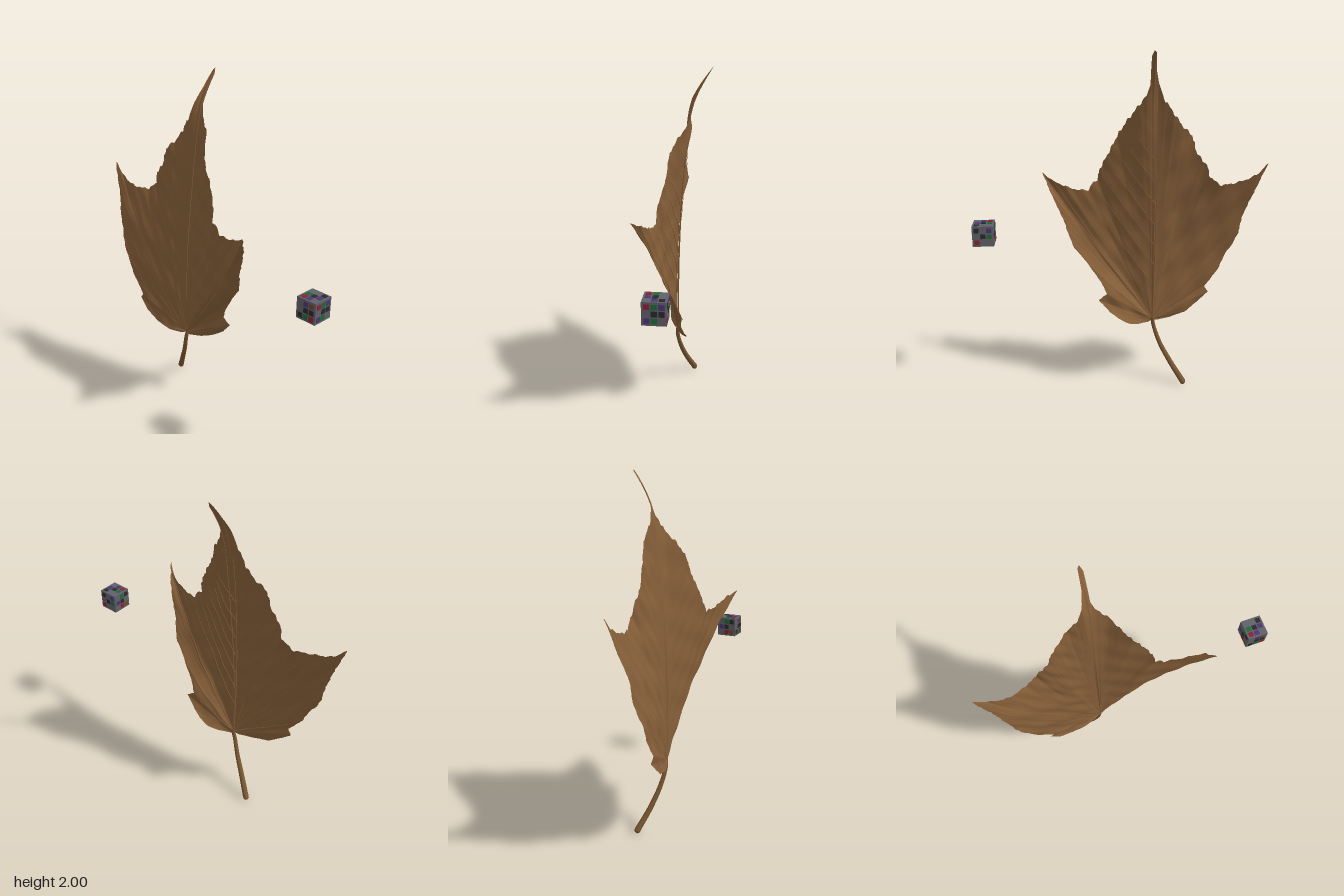
import * as THREE from 'three';

const mat = (name, color, extra = {}) => Object.assign(new THREE.MeshStandardMaterial({ color, ...extra }), { name });

// Margin points: x, y, z at the edge, z halfway from the leaf base
const RIGHT_EDGE = [
  [-0.17, 0.385, 0.01, 0.015], [-0.1, 0.39, -0.03, 0], [-0.04, 0.41, -0.055, -0.01], [0.02, 0.45, -0.06, -0.015],
  [0.07, 0.49, -0.055, -0.018], [0.135, 0.565, -0.04, -0.018], [0.085, 0.6, -0.035, -0.018], [0.12, 0.67, -0.02, -0.015],
  [0.195, 0.78, 0.005, -0.012], [0.27, 0.87, 0.03, -0.004], [0.3, 0.94, 0.055, 0.01], [0.33, 1.03, 0.08, 0.03],
  [0.4, 1.18, 0.13, 0.048], [0.445, 1.285, 0.19, 0.052], [0.4, 1.255, 0.145, 0.052], [0.32, 1.22, 0.11, 0.052],
  [0.25, 1.2, 0.1, 0.05], [0.18, 1.2, 0.095, 0.048], [0.165, 1.23, 0.092, 0.046], [0.13, 1.26, 0.09, 0.044],
  [0.115, 1.33, 0.07, 0.04], [0.07, 1.42, 0.055, 0.034], [0.02, 1.52, 0.04, 0.026], [-0.03, 1.61, 0, 0.018],
  [-0.08, 1.69, -0.05, 0.01], [-0.13, 1.76, -0.072, 0.005], [-0.148, 1.82, -0.078, 0], [-0.147, 1.9, -0.092, 0],
  [-0.143, 1.97, -0.1, 0],
];
const LEFT_EDGE = [
  [-0.155, 2, -0.1, 0], [-0.166, 1.99, -0.1, 0], [-0.175, 1.9, -0.076, 0], [-0.195, 1.82, -0.055, 0],
  [-0.225, 1.74, -0.055, 0.004], [-0.28, 1.66, -0.06, 0.008], [-0.33, 1.59, -0.045, 0.013], [-0.39, 1.53, -0.025, 0.02],
  [-0.42, 1.43, -0.015, 0.03], [-0.48, 1.36, -0.02, 0.035], [-0.5, 1.29, -0.025, 0.04], [-0.57, 1.24, -0.01, 0.05],
  [-0.66, 1.245, 0.015, 0.055], [-0.73, 1.265, 0.02, 0.06], [-0.79, 1.3, 0.02, 0.065], [-0.845, 1.365, 0.015, 0.065],
  [-0.8, 1.24, 0.045, 0.07], [-0.76, 1.13, 0.065, 0.075], [-0.72, 1, 0.085, 0.075], [-0.71, 0.92, 0.092, 0.075],
  [-0.68, 0.84, 0.1, 0.075], [-0.64, 0.78, 0.105, 0.07], [-0.6, 0.68, 0.105, 0.065], [-0.52, 0.57, 0.1, 0.06],
  [-0.54, 0.53, 0.095, 0.06], [-0.48, 0.47, 0.095, 0.055], [-0.4, 0.41, 0.085, 0.05], [-0.3, 0.385, 0.06, 0.04],
  [-0.22, 0.385, 0.03, 0.022],
];
const BASE = { x: -0.19, y: 0.4, z: 0.015 };
const VEIN_GAP = 0.125, VEIN_SLOPE = 1.35;
const midX = y => BASE.x - 0.012 * Math.sin((y - 0.4) * 2) + 0.02 * Math.max(0, y - 1.4);

// Dense margin with small saw teeth
function buildMargin() {
  const keys = [...RIGHT_EDGE, ...LEFT_EDGE], rim = [];
  const push = (dx, dy, edge, mid) => {
    const angle = Math.atan2(dy, dx);
    rim.push({ dx, dy, edge, mid, r: Math.hypot(dx, dy), angle: angle < -Math.PI / 2 ? angle + 2 * Math.PI : angle });
  };
  for (let i = 0; i < keys.length - 1; i++) {
    const a = keys[i], b = keys[i + 1];
    const n = Math.max(2, Math.round(Math.hypot(b[0] - a[0], b[1] - a[1]) / 0.012));
    for (let k = 0; k < n; k++) {
      const f = k / n, mix = j => a[j] + (b[j] - a[j]) * f;
      const tooth = a[1] > 1.75 ? 1 : 1 + 0.008 * Math.sin(rim.length * 1.25) * Math.sin(rim.length * 0.37);
      push((mix(0) - BASE.x) * tooth, (mix(1) - BASE.y) * tooth, mix(2), mix(3));
    }
  }
  const [x, y, edge, mid] = keys[keys.length - 1];
  push(x - BASE.x, y - BASE.y, edge, mid);
  return rim;
}

// Point on the blade at fraction t along one ray from the base
function bladePoint(p, t) {
  const x = BASE.x + p.dx * t, y = BASE.y + p.dy * t;
  let z = BASE.z * (2 * t - 1) * (t - 1) + p.mid * 4 * t * (1 - t) + p.edge * t * (2 * t - 1);
  z -= 0.09 * Math.max(0, (y - 1.7) / 0.3) ** 2;
  const side = Math.abs(x - midX(y));
  const fade = Math.min(1, side / 0.1) * (y > 1.7 ? 0.2 : 1);
  z -= 0.0015 * fade * Math.cos(2 * Math.PI * (y - VEIN_SLOPE * side) / VEIN_GAP);
  z += 0.005 * fade * Math.sin(x * 23 + y * 11) * Math.sin(y * 19 - x * 9);
  return new THREE.Vector3(x, y, z);
}

function bladeGeometry(rim, rings = 56) {
  const pos = [], idx = [], w = rings + 1;
  rim.forEach((p, i) => {
    for (let j = 0; j <= rings; j++) {
      pos.push(...bladePoint(p, j / rings).toArray());
      if (i === 0 || j === 0) continue;
      const d = i * w + j, c = d - w;
      idx.push(c - 1, c, d);
      if (j > 1) idx.push(c - 1, d, d - 1);
    }
  });
  const g = new THREE.BufferGeometry();
  g.setAttribute('position', new THREE.Float32BufferAttribute(pos, 3));
  g.setIndex(idx);
  g.computeVertexNormals();
  return g;
}

// Tube whose radius runs from r0 to r1
function taperedTube(points, r0, r1, segments = 24, sides = 6) {
  const curve = new THREE.CatmullRomCurve3(points);
  const g = new THREE.TubeGeometry(curve, segments, 1, sides);
  const pos = g.attributes.position, v = new THREE.Vector3();
  for (let i = 0; i < pos.count; i++) {
    const u = Math.floor(i / (sides + 1)) / segments, c = curve.getPointAt(u);
    v.fromBufferAttribute(pos, i).sub(c).multiplyScalar(r0 + (r1 - r0) * u).add(c);
    pos.setXYZ(i, v.x, v.y, v.z);
  }
  return g;
}

export function createModel() {
  const model = new THREE.Group();
  const leafBrown = mat('leaf brown', 0x865f39, { side: THREE.DoubleSide });
  const stemBrown = mat('stem brown', 0x7a5733);
  const add = (parent, name, geometry, material) => {
    const m = new THREE.Mesh(geometry, material);
    m.name = name;
    parent.add(m);
    return m;
  };

  // Blade
  const leaf = new THREE.Group();
  leaf.name = 'leaf';
  model.add(leaf);
  const rim = buildMargin();
  add(leaf, 'blade', bladeGeometry(rim), leafBrown);

  // Raised veins on the back, kept clear of the front face
  const onBack = (x, y, drop) => {
    const a = Math.atan2(y - BASE.y, x - BASE.x), r = Math.hypot(x - BASE.x, y - BASE.y);
    const p = rim.reduce((m, q) => Math.abs(q.angle - a) < Math.abs(m.angle - a) ? q : m);
    const t = r / p.r;
    if (t > 0.9) return null;
    const v = bladePoint(p, t);
    v.z -= drop;
    return v;
  };
  const vein = (name, path, r0, r1) => {
    const pts = [];
    for (let i = 0; i <= 30; i++) {
      const p = onBack(...path(i / 30), (r0 + (r1 - r0) * i / 30) * 1.3 + 0.002);
      if (!p) break;
      pts.push(p);
    }
    if (pts.length > 3) add(leaf, name, taperedTube(pts, r0, r1, 28, 5), leafBrown);
  };
  vein('midrib', t => { const y = 0.41 + 1.25 * t; return [midX(y), y]; }, 0.006, 0.002);
  for (const [x, y] of [[-0.82, 1.32], [0.42, 1.25], [-0.55, 0.62], [0.13, 0.62]])
    vein('lobeVein', t => [BASE.x + (x - BASE.x) * t, BASE.y + 0.01 + (y - BASE.y) * t], 0.004, 0.0015);
  for (const side of [-1, 1])
    for (let k = 5; k <= 11; k++)
      vein('sideVein', t => {
        const s = 0.01 + 0.59 * t, y = k * VEIN_GAP + VEIN_SLOPE * s;
        return [midX(y) + side * s, y];
      }, 0.0025, 0.0012);

  // Stem
  const stemPath = [[-0.188, 0.42, 0.004], [-0.198, 0.36, 0.012], [-0.235, 0.25, -0.005], [-0.3, 0.13, -0.04], [-0.372, 0.018, -0.085]]
    .map(p => new THREE.Vector3(...p));
  add(leaf, 'stem', taperedTube(stemPath, 0.011, 0.018, 30, 10), stemBrown);
  const tip = add(leaf, 'stemEnd', new THREE.SphereGeometry(0.018, 12, 8), stemBrown);
  tip.position.set(-0.371, 0.018, -0.084);

  // Small grey marker cube with a few coloured tiles on each face
  const cube = new THREE.Group();
  cube.name = 'markerCube';
  cube.position.set(0.78, 0.98, 0.015);
  model.add(cube);
  const size = 0.119, cell = size / 3.4;
  add(cube, 'cubeBody', new THREE.BoxGeometry(size, size, size), mat('cube grey', 0x606068));
  const tiles = {
    k: mat('tile black', 0x2a2a2d), r: mat('tile red', 0x8e2030), g: mat('tile green', 0x1c6a34),
    p: mat('tile purple', 0x4c3478), b: mat('tile brown', 0x6b4a2e),
  };
  // Each face: turns about x and y, then its rows of tiles
  const faces = [
    [0, 0, '.pb', '.kk', 'kgr'], [0, 1, 'rgp', '.kk', 'pg.'], [0, 2, 'k.p', '.kg', 'r..'],
    [0, 3, '.gk', 'pk.', '.rb'], [1, 0, 'r.g', '.kp', 'k..'], [3, 0, '..k', 'gkp', 'rp.'],
  ];
  for (const [rx, ry, ...rows] of faces) {
    const face = new THREE.Group();
    face.name = 'cubeFace';
    face.rotation.set(rx * Math.PI / 2, ry * Math.PI / 2, 0);
    cube.add(face);
    rows.forEach((row, j) => [...row].forEach((key, i) => {
      if (!tiles[key]) return;
      const tile = add(face, 'tile', new THREE.BoxGeometry(cell * 0.8, cell * 0.8, 0.003), tiles[key]);
      tile.position.set((i - 1) * cell, (1 - j) * cell, size / 2 + 0.0005);
    }));
  }
  return model;
}
